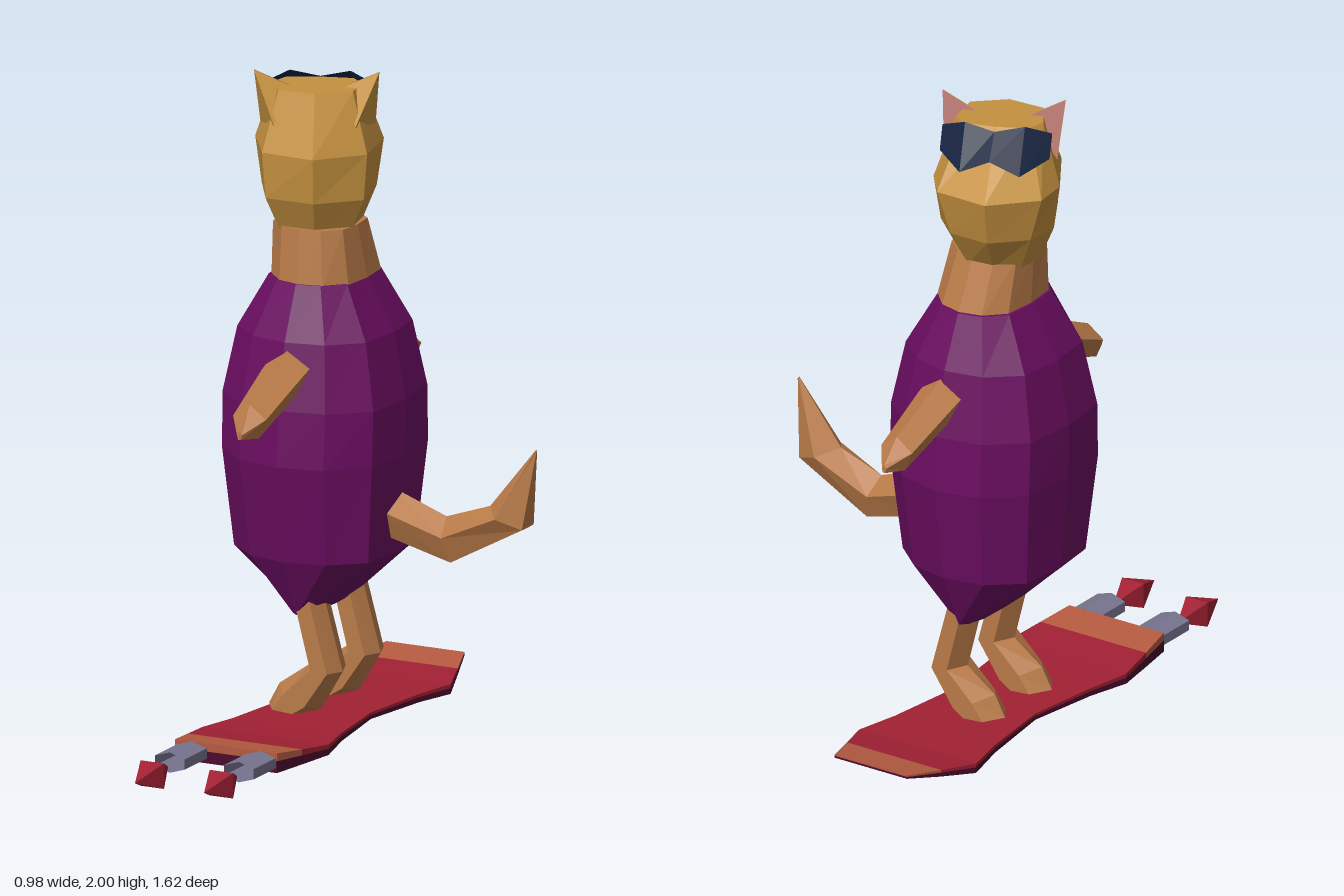
import * as THREE from 'three';

const mat = (color, side = THREE.FrontSide) =>
  new THREE.MeshStandardMaterial({ color, flatShading: true, side });
const FUR = mat(0xb87a48), HEAD = mat(0xc4913f), SUIT = mat(0x6a0d60);
const RED = mat(0xa02033), ORANGE = mat(0xb45a40), DARK = mat(0x4a0a2c);
const STEEL = mat(0x77748f, THREE.DoubleSide), LENS = mat(0x14223f, THREE.DoubleSide);
const PINK = mat(0xb27068, THREE.DoubleSide);

function mesh(name, geometry, material, parent) {
  const m = new THREE.Mesh(geometry, material);
  m.name = name;
  parent.add(m);
  return m;
}

function fromTriangles(tris) {
  const g = new THREE.BufferGeometry();
  g.setAttribute('position', new THREE.Float32BufferAttribute(tris.flat(2), 3));
  g.computeVertexNormals();
  return g;
}

// Closed skin through equal-sized rings of [x, y, z], capped at both ends and turned outward.
function loft(rings) {
  const n = rings[0].length, tris = [];
  const middle = r => [0, 1, 2].map(k => r.reduce((s, p) => s + p[k], 0) / n);
  for (let i = 0; i < rings.length - 1; i++) {
    const a = rings[i], b = rings[i + 1];
    for (let j = 0; j < n; j++) {
      const k = (j + 1) % n;
      tris.push([a[j], a[k], b[k]], [a[j], b[k], b[j]]);
    }
  }
  const first = rings[0], last = rings[rings.length - 1];
  const c0 = middle(first), c1 = middle(last);
  for (let j = 0; j < n; j++) {
    const k = (j + 1) % n;
    tris.push([first[k], first[j], c0], [last[j], last[k], c1]);
  }
  const v = p => new THREE.Vector3(...p).sub(new THREE.Vector3(...c0));
  const volume = tris.reduce((s, [a, b, c]) => s + v(a).dot(v(b).cross(v(c))), 0);
  return fromTriangles(volume < 0 ? tris.map(([a, b, c]) => [a, c, b]) : tris);
}

// Completes a half outline of [x, z], running from front to back on x = 0, by mirroring.
const mirrored = half => [...half, ...half.slice(1, -1).reverse().map(([x, z]) => [-x, z])];

function addBody(cat) {
  const unit = mirrored([[0, 1], [0.52, 0.9], [0.93, 0.58], [1, 0], [0.93, -0.58], [0.52, -0.9], [0, -1]]);
  const rows = [[0.37, 0.04, 0.18], [0.55, 0.24, 0.26], [0.85, 0.268, 0.305],
    [1.02, 0.27, 0.295], [1.22, 0.23, 0.255], [1.38, 0.14, 0.185]];
  const rings = rows.map(([y, rx, rz]) => unit.map(([x, z]) => [-0.215 + x * rx, y, -0.185 + z * rz]));
  mesh('body', loft(rings), SUIT, cat);

  // Neck leans over to the turned head
  const neckRows = [[1.37, -0.21, -0.185, 0.138, 0.18], [1.54, -0.22, -0.165, 0.125, 0.135]];
  mesh('neck', loft(neckRows.map(([y, cx, cz, rx, rz]) =>
    unit.map(([x, z]) => [cx + x * rx, y, cz + z * rz]))), FUR, cat);
}

function addHead(cat) {
  const head = new THREE.Group();
  head.name = 'head';
  head.position.set(-0.24, 0, -0.19);
  head.rotation.y = Math.PI + 0.41;
  cat.add(head);

  // Skull: half outlines from nose to nape
  const levels = [
    [1.51, [[0, 0.1], [0.08, 0.08], [0.12, 0], [0.1, -0.1], [0, -0.14]]],
    [1.63, [[0, 0.19], [0.12, 0.14], [0.17, 0.04], [0.145, -0.14], [0, -0.2]]],
    [1.77, [[0, 0.23], [0.157, 0.16], [0.19, 0.05], [0.155, -0.145], [0, -0.22]]],
    [1.95, [[0, 0.06], [0.1, 0.05], [0.13, 0], [0.11, -0.1], [0, -0.14]]],
  ];
  mesh('skull', loft(levels.map(([y, half]) => mirrored(half).map(([x, z]) => [x, y, z]))), HEAD, head);

  // Ears with a coloured front face
  for (const s of [-1, 1]) {
    const tip = [s * 0.185, 2, -0.063], inner = [s * 0.08, 1.95, -0.045];
    const outer = [s * 0.17, 1.83, -0.01], back = [s * 0.12, 1.85, -0.14];
    mesh('ear', loft([[inner, outer, back], [tip, tip, tip]]), HEAD, head);
    const ahead = p => [p[0], p[1], p[2] + 0.004];
    mesh('innerEar', fromTriangles([[inner, outer, tip].map(ahead)]), PINK, head);
  }

  // Sunglasses wrapped over the brow: columns of x, top (y, z), bottom (y, z)
  const half = [[0, 1.945, 0.085, 1.88, 0.16], [0.09, 1.965, 0.075, 1.84, 0.16], [0.165, 1.935, 0.04, 1.87, 0.08]];
  const columns = [...half.slice(1).reverse().map(([x, ...r]) => [-x, ...r]), ...half];
  const tris = [];
  for (let i = 0; i < columns.length - 1; i++) {
    const [[x0, a, b, c, d], [x1, e, f, g, h]] = [columns[i], columns[i + 1]];
    tris.push([[x0, c, d], [x1, g, h], [x1, e, f]], [[x0, c, d], [x1, e, f], [x0, a, b]]);
  }
  mesh('sunglasses', fromTriangles(tris), LENS, head);
}

function addLimbs(cat) {
  // Five-sided section, ridge upward
  const five = [[0, 1], [1, 0.2], [0.55, -1], [-0.55, -1], [-1, 0.2]];
  const armRows = [[0.18, 1.16, 0.075, 0.065], [0.28, 1.125, 0.07, 0.06], [0.49, 1.04, 0.055, 0.05], [0.555, 1.01, 0.008, 0.012]];
  for (const s of [-1, 1]) {
    mesh('arm', loft(armRows.map(([z, y, w, h]) =>
      five.map(([u, v]) => [-0.205 + u * w, y + v * h, -0.18 + s * z]))), FUR, cat);

    // Leg: rows give the front and back edge in x and y
    const legRows = [[-0.26, 0.45, -0.16, 0.45], [-0.2, 0.21, -0.09, 0.2], [-0.3, 0.14, -0.16, 0.08], [-0.335, 0.075, -0.2, 0.065]];
    mesh('leg', loft(legRows.map(([x0, y0, x1, y1]) =>
      [[0, 0], [0.3, 1], [0.8, 1], [1, 0], [0.8, -1], [0.3, -1]].map(([t, w]) =>
        [x0 + (x1 - x0) * t, y0 + (y1 - y0) * t, -0.18 + s * 0.12 + w * 0.06]))), FUR, cat);
  }

  // Tail: rows give the top and bottom edge in x and y, then the half width
  const tailRows = [[0, 0.75, 0, 0.61, 0.075], [0.19, 0.68, 0.22, 0.55, 0.06],
    [0.335, 0.73, 0.46, 0.68, 0.068], [0.487, 0.92, 0.49, 0.915, 0.004]];
  mesh('tail', loft(tailRows.map(([x0, y0, x1, y1, w]) => five.map(([u, v]) => {
    const t = (1 - v) / 2;
    return [x0 + (x1 - x0) * t, y0 + (y1 - y0) * t, -0.185 + u * w];
  }))), FUR, cat);
}

function addBoard(root) {
  const board = new THREE.Group();
  board.name = 'rocketBoard';
  root.add(board);

  // Rows: z, half width, bottom y, top y
  const rows = [[-0.81, 0.13, 0.07, 0.08], [-0.69, 0.17, 0.043, 0.064], [-0.57, 0.21, 0.02, 0.05], [-0.43, 0.18, 0.025, 0.05],
    [-0.18, 0.15, 0.03, 0.05], [0.06, 0.18, 0.025, 0.05], [0.2, 0.21, 0.02, 0.052], [0.33, 0.19, 0.02, 0.066], [0.45, 0.17, 0.02, 0.08]];
  const deck = (list, low, high) => loft(list.map(([z, w, b, t]) => {
    const y0 = b + (t - b) * low, y1 = b + (t - b) * high;
    return [[-0.21 - w, y0, z], [-0.21 + w, y0, z], [-0.21 + w, y1, z], [-0.21 - w, y1, z]];
  }));
  mesh('boardBase', deck(rows, 0, 0.6), DARK, board);
  mesh('boardDeck', deck(rows.slice(1, 8), 0.6, 1), RED, board);
  mesh('boardNose', deck(rows.slice(0, 2), 0.6, 1), ORANGE, board);
  mesh('boardTail', deck(rows.slice(7), 0.6, 1), ORANGE, board);

  // Open nozzles, each with a pointed flame behind it
  for (const x of [-0.323, -0.093]) {
    const tube = new THREE.CylinderGeometry(0.06, 0.06, 0.14, 6, 1, true).rotateX(Math.PI / 2).scale(0.95, 0.52, 1);
    mesh('nozzle', tube, STEEL, board).position.set(x, 0.05, 0.52);

    const profile = [[0, -0.1], [0.055, 0], [0, 0.11]].map(p => new THREE.Vector2(...p));
    const flame = new THREE.LatheGeometry(profile, 4, Math.PI / 4).rotateX(Math.PI / 2);
    mesh('flame', flame, RED, board).position.set(x, 0.04, 0.7);
  }
}

export function createModel() {
  const root = new THREE.Group();
  root.name = 'catOnRocketBoard';
  const cat = new THREE.Group();
  cat.name = 'cat';
  root.add(cat);
  addBody(cat);
  addHead(cat);
  addLimbs(cat);
  addBoard(root);
  return root;
}
